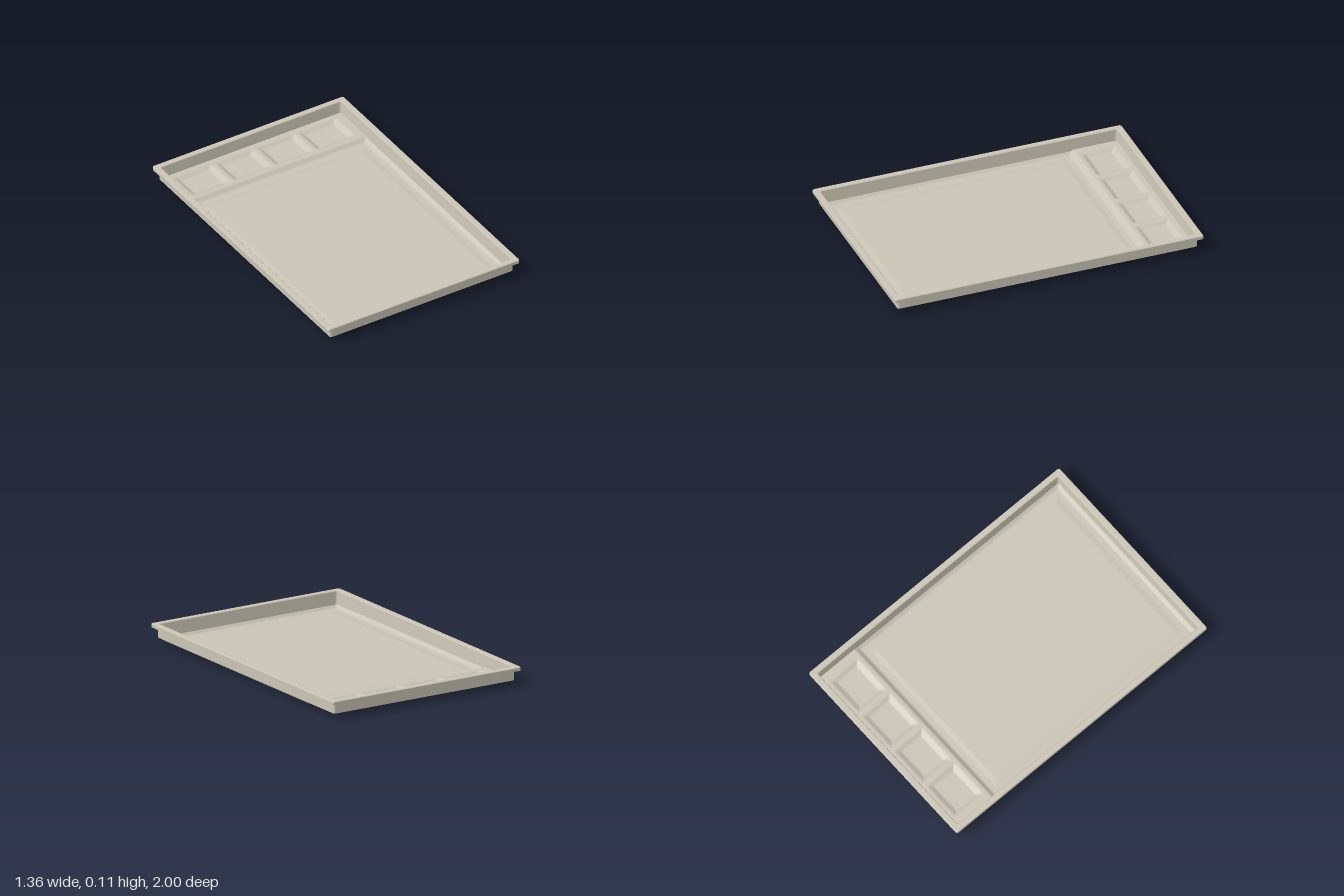
import * as THREE from 'three';

const HX = 0.65, HZ = 0.97;            // half size of the outer wall
const SHELF = 0.025, THICK = 0.009;
const SHELF_Z = -0.68;                 // where the shelf meets the basin
const POCKET_Z = -0.81, POCKETS = [-0.4425, -0.1475, 0.1475, 0.4425];

const ramp = (v, a, b) => THREE.MathUtils.smoothstep(v, a, b);

// Height of the underside of the pressed floor
function floorHeight(x, z) {
  if (z < SHELF_Z) {
    let depth = 0;
    for (const px of POCKETS) {
      const inX = 1 - ramp(Math.abs(x - px), 0.1, 0.135);
      const inZ = 1 - ramp(Math.abs(z - POCKET_Z), 0.072, 0.115);
      depth = Math.max(depth, Math.min(inX, inZ));
    }
    return SHELF - 0.019 * depth;
  }
  const inset = Math.min(HX - Math.abs(x), HZ - z, z - SHELF_Z);
  return SHELF * (1 - ramp(inset, 0.004, 0.042)) + 0.005 * ramp(inset, 0.07, 0.115);
}

// Grid lines: fine steps where the floor bends, one long step where it is flat
function gridLines(spans) {
  const lines = [spans[0][0]];
  for (const [a, b, n] of spans)
    for (let i = 1; i <= n; i++) lines.push(a + ((b - a) * i) / n);
  return lines;
}

function floorSheet(lift, faceUp) {
  const xs = gridLines([[-0.645, 0.645, 129]]);
  const zs = gridLines([[-0.965, -0.925, 2], [-0.925, -0.88, 6], [-0.88, -0.74, 4],
    [-0.74, -0.55, 26], [-0.55, 0.84, 12], [0.84, 0.965, 18]]);
  const pos = [], index = [], n = zs.length;
  for (const x of xs) for (const z of zs) pos.push(x, floorHeight(x, z) + lift, z);
  for (let i = 0; i < xs.length - 1; i++)
    for (let j = 0; j < n - 1; j++) {
      const a = i * n + j, b = a + 1, d = a + n, c = d + 1;
      if (faceUp) index.push(a, b, c, a, c, d);
      else index.push(a, c, b, a, d, c);
    }
  const g = new THREE.BufferGeometry();
  g.setAttribute('position', new THREE.Float32BufferAttribute(pos, 3));
  g.setIndex(index);
  g.computeVertexNormals();
  return g;
}

// Rounded rectangle loop at a given offset from the wall
function loop(offset, y, radius = 0.013, steps = 4) {
  const pts = [];
  const cx = HX + offset - radius, cz = HZ + offset - radius;
  const corners = [[1, 1], [-1, 1], [-1, -1], [1, -1]];
  corners.forEach(([sx, sz], k) => {
    for (let i = 0; i <= steps; i++) {
      const a = (k + i / steps) * Math.PI / 2;
      pts.push([sx * cx + radius * Math.cos(a), y, sz * cz + radius * Math.sin(a)]);
    }
  });
  return pts;
}

// Closed cross-section swept around the tray
function sweep(profile) {
  const rings = profile.map(([o, y]) => loop(o, y));
  const pos = [], n = rings[0].length;
  rings.forEach((r, j) => {
    const s = rings[(j + 1) % rings.length];
    for (let i = 0; i < n; i++) {
      const k = (i + 1) % n;
      pos.push(...r[i], ...s[i], ...s[k], ...r[i], ...s[k], ...r[k]);
    }
  });
  const g = new THREE.BufferGeometry();
  g.setAttribute('position', new THREE.Float32BufferAttribute(pos, 3));
  g.computeVertexNormals();
  return g;
}

export function createModel() {
  const tray = new THREE.Group();
  tray.name = 'tray';
  const putty = new THREE.MeshStandardMaterial({ color: 0xc9c4b4 });
  putty.name = 'putty';
  const add = (name, geometry) => {
    const mesh = new THREE.Mesh(geometry, putty);
    mesh.name = name;
    tray.add(mesh);
  };

  // Wall with a rolled-over rim, hollow beneath
  add('wallAndRim', sweep([
    [0, SHELF - 0.001], [0, 0.1], [0.021, 0.1], [0.021, 0.087], [0.03, 0.087],
    [0.03, 0.106], [0.026, 0.11], [-0.005, 0.11], [-0.009, 0.106], [-0.018, SHELF - 0.001],
  ]));

  // Pressed floor: raised panel, shelf and four pockets, as upper and lower skins
  add('floorTop', floorSheet(THICK, true));
  add('floorUnderside', floorSheet(0, false));
  return tray;
}
